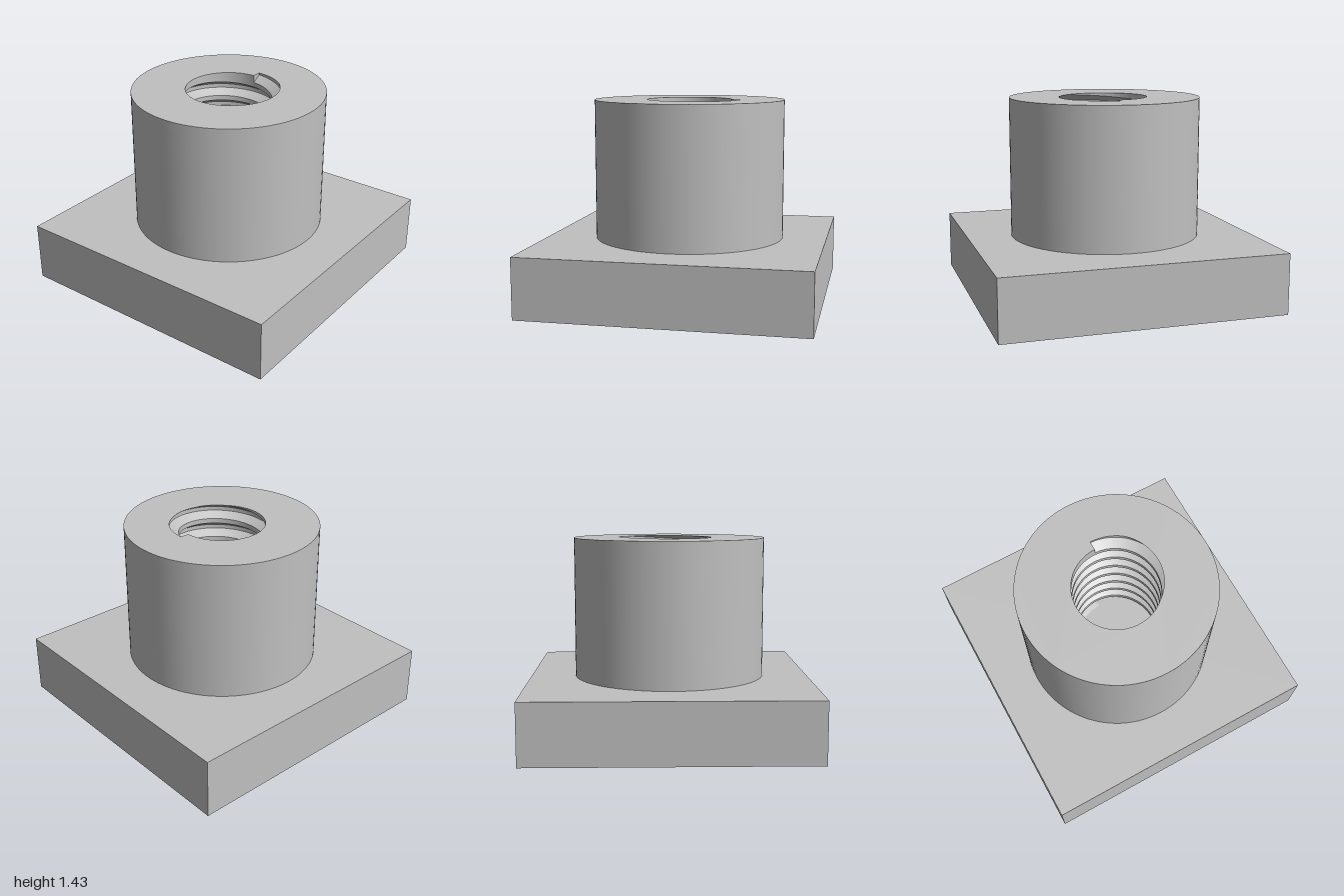
import * as THREE from 'three';
import { mergeGeometries } from 'three/addons/utils/BufferGeometryUtils.js';

const FLOOR = 0.43, TOP = 1.43;
const BOSS_R = 0.685, CREST = 0.305, ROOT = 0.37;
const PITCH = 1 / 7, TURNS = 7, SEGS = 96;
const TAU = Math.PI * 2;

// Thread radius at a distance d above or below the middle of the groove
function grooveRadius(d) {
  const t = (Math.abs(d) / PITCH - 0.1) / 0.275;
  return ROOT + (CREST - ROOT) * Math.min(1, Math.max(0, t));
}

// Height of the middle of groove turn k; angle runs from +x towards +z
const grooveY = (angle, k) => TOP - PITCH * (angle / TAU + k);

// A point on the thread, kept between the floor and the rim of the hole
function threadPoint(angle, k, offset) {
  const mid = grooveY(angle, k);
  const y = Math.min(TOP, Math.max(FLOOR, mid + offset * PITCH));
  let r = grooveRadius(y - mid);
  // the last half turn narrows slightly where it meets the floor
  if (y === FLOOR && angle > Math.PI) r = CREST - 0.025 * (angle / Math.PI - 1);
  return [r * Math.cos(angle), y, r * Math.sin(angle)];
}

// One helical band between two offsets of the thread profile
function threadBand(k, low, high) {
  const positions = [], index = [];
  for (let i = 0; i <= SEGS; i++) {
    const angle = (i / SEGS) * TAU;
    positions.push(...threadPoint(angle, k, low), ...threadPoint(angle, k, high));
    if (i < SEGS) {
      const a = i * 2;
      index.push(a, a + 2, a + 1, a + 2, a + 3, a + 1);
    }
  }
  const g = new THREE.BufferGeometry();
  g.setAttribute('position', new THREE.Float32BufferAttribute(positions, 3));
  g.setIndex(index);
  g.computeVertexNormals();
  return g;
}

export function createModel() {
  const group = new THREE.Group();
  const grey = new THREE.MeshStandardMaterial({ color: 0xc0c0c0 });
  grey.name = 'plain grey';
  const add = (name, geometry) => {
    const mesh = new THREE.Mesh(geometry, grey);
    mesh.name = name;
    group.add(mesh);
    return mesh;
  };

  // Square base, whose top is also the floor of the hole
  add('base', new THREE.BoxGeometry(2, FLOOR, 2)).position.y = FLOOR / 2;

  // Round boss wall
  const wall = new THREE.CylinderGeometry(BOSS_R, BOSS_R, TOP - FLOOR, SEGS, 1, true);
  add('bossWall', wall).position.y = (TOP + FLOOR) / 2;

  // Boss top, with the opening following the end of the thread
  const top = new THREE.Shape().absarc(0, 0, BOSS_R, 0, TAU, false);
  const rim = [];
  for (let i = 0; i <= SEGS; i++) {
    const angle = (i / SEGS) * TAU;
    const r = grooveRadius(TOP - grooveY(angle, 0));
    rim.push(new THREE.Vector2(r * Math.cos(angle), -r * Math.sin(angle)));
  }
  top.holes.push(new THREE.Path(rim));
  const topGeometry = new THREE.ShapeGeometry(top, SEGS / 2);
  topGeometry.rotateX(-Math.PI / 2);
  add('bossTop', topGeometry).position.y = TOP;

  // Helical thread: crest above the first turn, then every turn's profile
  const bands = [threadBand(0, 0.375, 1.1)];
  const profile = [0.375, 0.1, -0.1, -0.375, -0.625];
  for (let k = 0; k <= TURNS; k++) {
    for (let j = 0; j < profile.length - 1; j++) {
      bands.push(threadBand(k, profile[j + 1], profile[j]));
    }
  }
  add('thread', mergeGeometries(bands));

  // Flat end of the groove at the rim
  const end = new THREE.Shape();
  end.moveTo(CREST, TOP - 0.375 * PITCH);
  end.lineTo(ROOT, TOP - 0.1 * PITCH);
  end.lineTo(ROOT, TOP);
  end.lineTo(CREST, TOP);
  add('threadEnd', new THREE.ShapeGeometry(end));

  return group;
}
